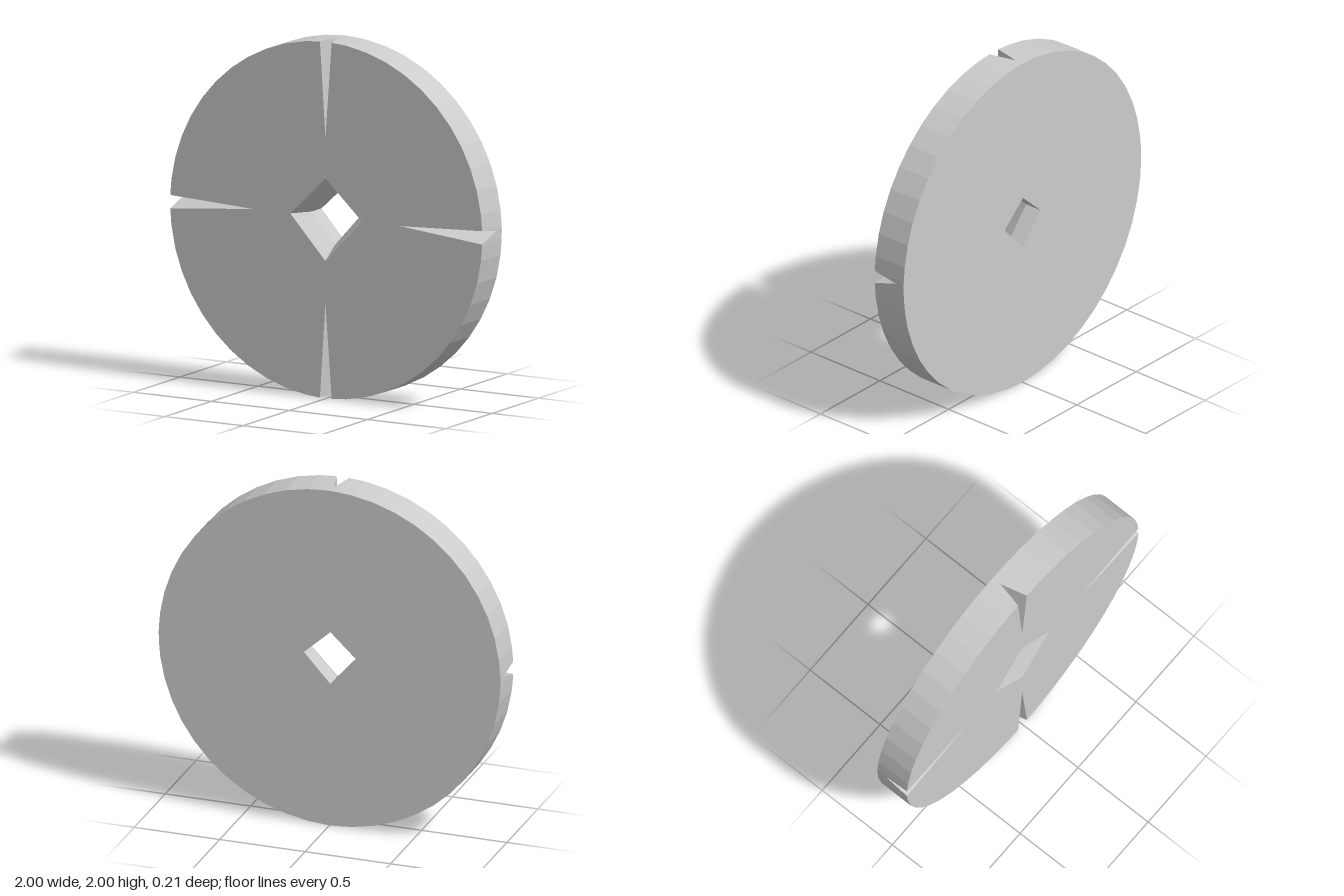
import * as THREE from 'three';

const FRONT = 0.105, BACK = -0.105, NOTCH_Z = -0.05, ARC_STEPS = 12;

const at = ([x, y], z) => [x, y, z];
const onRim = (a) => [Math.cos(a), 1 + Math.sin(a)];

// Flat-faced geometry from a list of triangles
function fromTriangles(tris) {
  const g = new THREE.BufferGeometry();
  g.setAttribute('position', new THREE.Float32BufferAttribute(tris.flat(2), 3));
  g.computeVertexNormals();
  return g;
}

const quad = (a, b, c, d) => [[a, b, c], [a, c, d]];

// Band joining two closed loops of 3D points, facing outward
function band(near, far) {
  return near.flatMap((p, i) => {
    const j = (i + 1) % near.length;
    return quad(p, far[i], far[j], near[j]);
  });
}

// Flat face with a hole, lying at depth z
function face(outline, hole, z) {
  const toVec = (pts) => pts.map(([x, y]) => new THREE.Vector2(x, y));
  const shape = new THREE.Shape(toVec(outline));
  shape.holes.push(new THREE.Path(toVec(hole).reverse()));
  return new THREE.ShapeGeometry(shape).translate(0, 0, z);
}

export function createModel() {
  const group = new THREE.Group();
  const material = new THREE.MeshStandardMaterial({ color: 0xcccccc, flatShading: true });
  const add = (name, geometry) => {
    const mesh = new THREE.Mesh(geometry, material);
    mesh.name = name;
    group.add(mesh);
    return mesh;
  };

  // Four V notches: rim angles of first edge, valley and second edge, plus inner tip
  const notches = [
    { angles: [-0.035, 0.015, 0.04], tip: [0.47, 1.015] },
    { angles: [-0.035, 0.005, 0.04], tip: [-0.005, 1.46] },
    { angles: [-0.04, -0.015, 0.035], tip: [-0.47, 1.015] },
    { angles: [-0.04, -0.005, 0.035], tip: [-0.005, 0.54] },
  ];

  // Outlines of the two faces and the front edge of the rim
  const frontOutline = [], backOutline = [], rimFront = [], notchWalls = [];
  notches.forEach(({ angles, tip }, k) => {
    const base = k * Math.PI / 2;
    const [e0, valley, e1] = angles.map((a) => onRim(base + a));
    frontOutline.push(e0, tip, e1);
    backOutline.push(e0, valley, e1);
    rimFront.push(at(e0, FRONT), at(valley, NOTCH_Z), at(e1, FRONT));
    notchWalls.push(
      [at(e0, FRONT), at(valley, NOTCH_Z), at(tip, FRONT)],
      [at(tip, FRONT), at(valley, NOTCH_Z), at(e1, FRONT)],
    );
    for (let i = 1; i < ARC_STEPS; i++) {
      const p = onRim(base + (i / ARC_STEPS) * Math.PI / 2);
      frontOutline.push(p);
      backOutline.push(p);
      rimFront.push(at(p, FRONT));
    }
  });

  // Diamond opening: wide at the front, narrowing to a straight bore
  const wide = [[0.23, 1.015], [-0.005, 1.235], [-0.23, 1.015], [-0.005, 0.77]];
  const narrow = [[0.15, 1.015], [-0.005, 1.155], [-0.155, 1.015], [-0.005, 0.845]];
  const loop = (pts, z) => pts.map((p) => at(p, z)).reverse();

  add('frontFace', face(frontOutline, wide, FRONT));
  const back = face(backOutline, narrow, BACK);
  const idx = back.index.array;
  for (let i = 0; i < idx.length; i += 3) [idx[i], idx[i + 1]] = [idx[i + 1], idx[i]];
  back.computeVertexNormals();
  add('backFace', back);
  add('rim', fromTriangles(band(rimFront, backOutline.map((p) => at(p, BACK)))));
  add('notches', fromTriangles(notchWalls));
  add('holeBevel', fromTriangles(band(loop(wide, FRONT), loop(narrow, 0))));
  add('holeBore', fromTriangles(band(loop(narrow, 0), loop(narrow, BACK))));
  return group;
}
